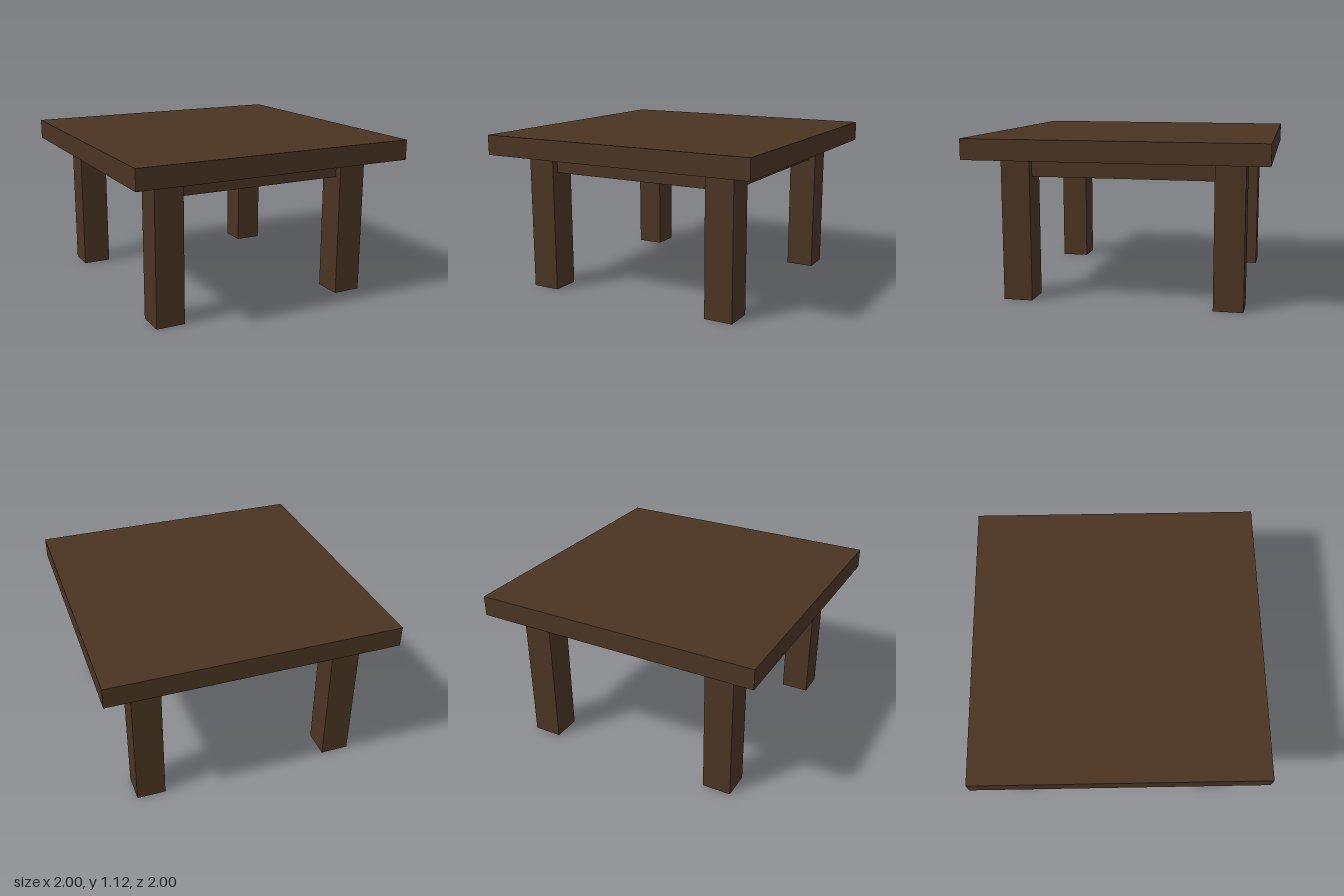
import * as THREE from 'three';

export function createModel() {
  const table = new THREE.Group();
  table.name = 'table';
  const wood = new THREE.MeshStandardMaterial({ color: 0x4a3423 });
  wood.name = 'dark wood';

  // Box given by its minimum and maximum corners
  function box(name, [x0, y0, z0], [x1, y1, z1]) {
    const mesh = new THREE.Mesh(new THREE.BoxGeometry(x1 - x0, y1 - y0, z1 - z0), wood);
    mesh.name = name;
    mesh.position.set((x0 + x1) / 2, (y0 + y1) / 2, (z0 + z1) / 2);
    table.add(mesh);
  }

  const under = 0.98, apronBottom = 0.85;
  const frontZ = 0.6, backZ = -0.64; // inner faces of the legs

  box('tableTop', [-1, under, -1], [1, 1.12, 1]);

  for (const [side, x] of [['Left', 0.7], ['Right', -0.7]]) {
    // Legs; the back pair stands slightly further out
    box('front' + side + 'Leg', [x - 0.1, 0, frontZ], [x + 0.1, under, frontZ + 0.2]);
    box('back' + side + 'Leg', [x - 0.1, 0, backZ - 0.2], [x + 0.1, under, backZ]);
    // Side apron between front and back leg
    box('apron' + side, [x - 0.05, apronBottom, backZ], [x + 0.05, under, frontZ]);
  }

  // Front and back aprons
  for (const [name, z] of [['apronFront', 0.7], ['apronBack', -0.7]]) {
    box(name, [-0.6, apronBottom, z - 0.05], [0.6, under, z + 0.05]);
  }
  return table;
}
